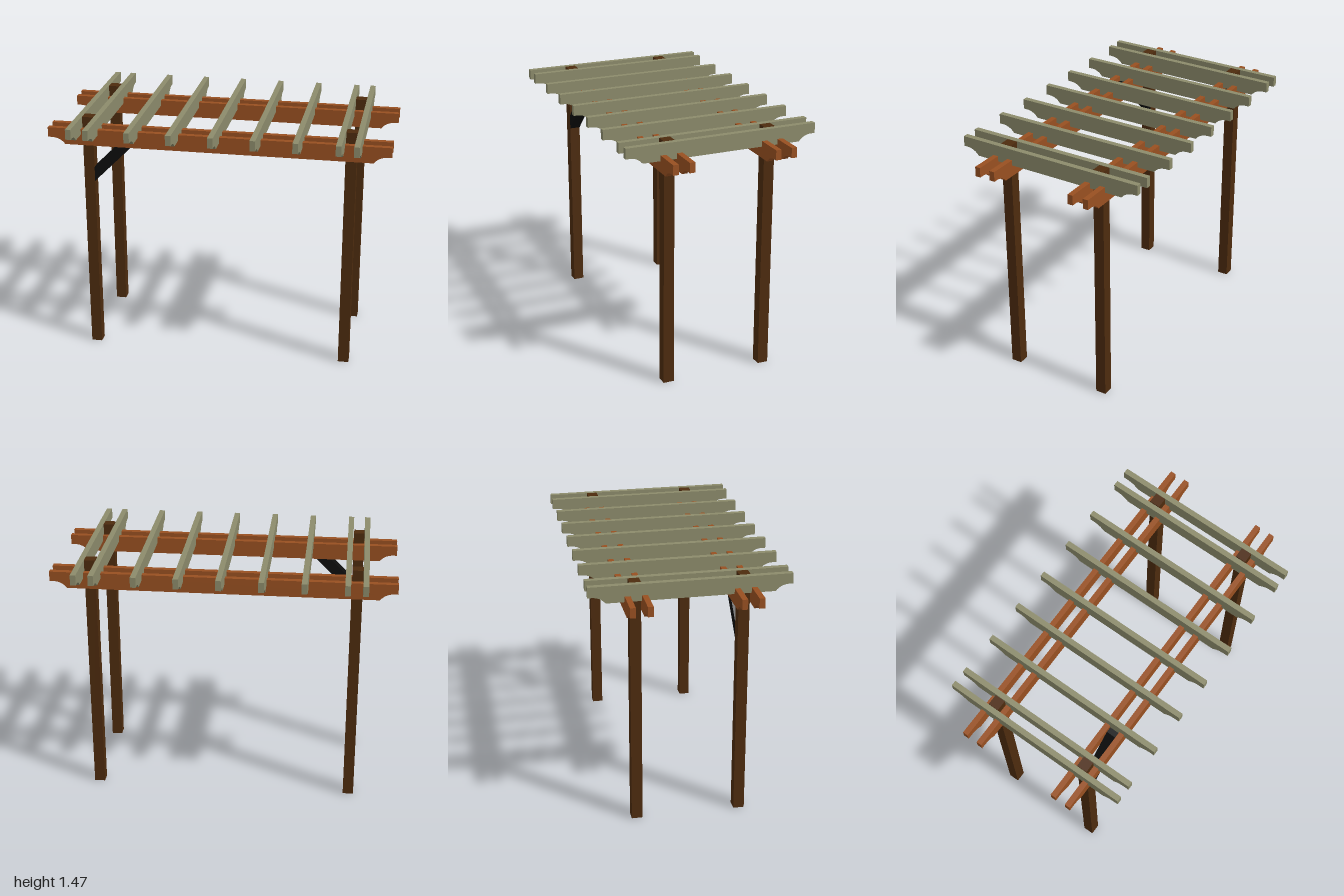
import * as THREE from 'three';

const wood = (color) => new THREE.MeshStandardMaterial({ color, flatShading: true });

// Extrude a shape, centred across its thickness
function slab(shape, thickness) {
  const geo = new THREE.ExtrudeGeometry(shape, { depth: thickness, bevelEnabled: false, curveSegments: 8 });
  return geo.translate(0, 0, -thickness / 2);
}

// Long board whose lower corners are cut by a cove
function covedBoard(half, bottom, top, lip, flatHalf, thickness) {
  const start = half - 0.022;
  const ctrl = flatHalf + 0.03;
  const s = new THREE.Shape();
  s.moveTo(-flatHalf, bottom);
  s.lineTo(flatHalf, bottom);
  s.quadraticCurveTo(ctrl, lip, start, lip);
  s.lineTo(half, lip);
  s.lineTo(half, top);
  s.lineTo(-half, top);
  s.lineTo(-half, lip);
  s.lineTo(-start, lip);
  s.quadraticCurveTo(-ctrl, lip, -flatHalf, bottom);
  return slab(s, thickness);
}

export function createModel() {
  const group = new THREE.Group();
  const add = (name, geo, mat, x = 0, y = 0, z = 0) => {
    const mesh = new THREE.Mesh(geo, mat);
    mesh.name = name;
    mesh.position.set(x, y, z);
    group.add(mesh);
  };

  const postMat = wood(0x4d2b0e);
  const beamMat = wood(0x985021);
  const rafterMat = wood(0x8c8b6b);
  const braceMat = wood(0x0d0d0d);

  const postX = 0.768, postZ = 0.302, postSize = 0.063, height = 1.465;

  // Four posts, each clasped by a pair of beams
  const postGeo = new THREE.BoxGeometry(postSize, height, postSize);
  const beamGeo = covedBoard(1, 1.303, 1.4, 1.342, 0.898, 0.032);
  for (const sz of [-1, 1]) {
    for (const sx of [-1, 1]) {
      add('post', postGeo, postMat, sx * postX, height / 2, sz * postZ);
      add('beam', beamGeo, beamMat, 0, 0, sz * postZ + sx * 0.0475);
    }
  }

  // Rafters: evenly spaced, plus one outside each end post
  const rafterGeo = covedBoard(0.566, 1.368, height, 1.405, 0.468, 0.032).rotateY(-Math.PI / 2);
  const rafterX = [-0.817, 0.817];
  for (let i = -3; i <= 3; i++) rafterX.push(i * 0.239);
  for (const x of rafterX) add('rafter', rafterGeo, rafterMat, x);

  // Single diagonal brace between the front beams
  const inner = -postX + postSize / 2;
  const brace = new THREE.Shape();
  brace.moveTo(inner, 1.07);
  brace.lineTo(inner + 0.298, 1.368);
  brace.lineTo(inner + 0.21, 1.368);
  brace.lineTo(inner, 1.158);
  add('brace', slab(brace, postSize), braceMat, 0, 0, postZ);

  return group;
}
